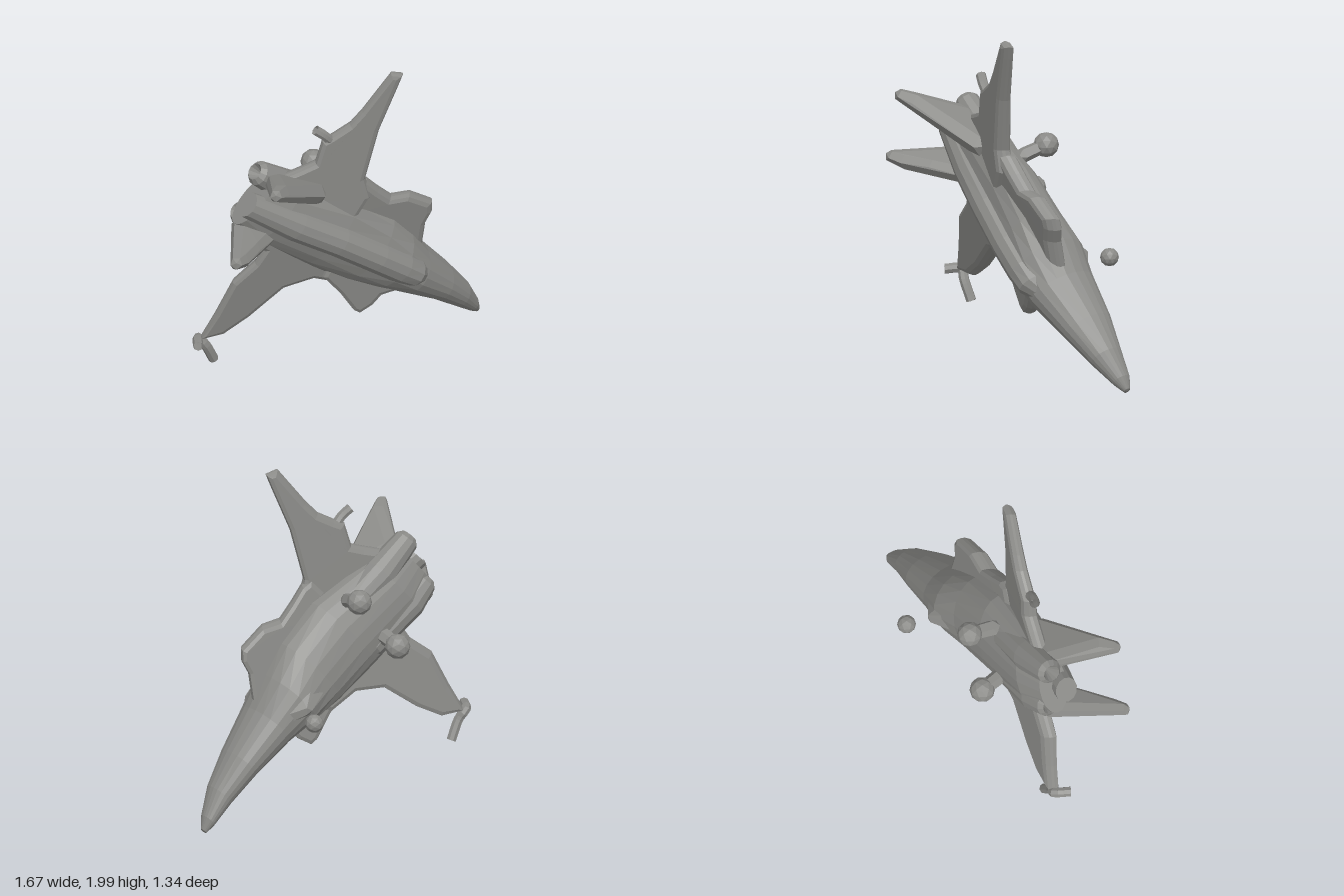
import * as THREE from 'three';
import { ConvexGeometry } from 'three/addons/geometries/ConvexGeometry.js';

const material = new THREE.MeshStandardMaterial({ color: 0x8a8a87, flatShading: true, side: THREE.DoubleSide });

// Aircraft axes: span, up and forward, banked and diving
const frame = new THREE.Matrix4().makeBasis(
  new THREE.Vector3(0.628, 0.768, -0.125),
  new THREE.Vector3(0.414, -0.194, 0.889),
  new THREE.Vector3(0.658, -0.611, -0.44)
).setPosition(0, 1, 0);

function add(group, name, geometry) {
  const mesh = new THREE.Mesh(geometry, material);
  mesh.name = name;
  group.add(mesh);
  return mesh;
}

// Skin over elliptical sections [forward, side, up, halfWidth, halfHeight]
function loft(sections, sides = 20) {
  const pos = [], index = [];
  sections.forEach(([f, w, u, hw, hu], i) => {
    for (let j = 0; j < sides; j++) {
      const a = (j / sides) * Math.PI * 2;
      pos.push(w + hw * Math.cos(a), u + hu * Math.sin(a), f);
      if (i === sections.length - 1) continue;
      const p = i * sides + j, q = i * sides + (j + 1) % sides;
      index.push(p, q, p + sides, q, q + sides, p + sides);
    }
  });
  const g = new THREE.BufferGeometry();
  g.setAttribute('position', new THREE.Float32BufferAttribute(pos, 3));
  g.setIndex(index);
  g.computeVertexNormals();
  return g.applyMatrix4(frame);
}

// Bevelled plate with an outline in x, y, thinning outwards and sheared onto a sloping plane
function plate(outline, thick, lift, slopeX = -0.466, slopeY = 0.218) {
  const shape = new THREE.Shape(outline.map(([x, y]) => new THREE.Vector2(x, y)));
  const bevel = thick * 0.4;
  const g = new THREE.ExtrudeGeometry(shape, {
    depth: thick - 2 * bevel, bevelThickness: bevel, bevelSize: 0.03, bevelOffset: -0.03, bevelSegments: 2
  });
  const p = g.attributes.position;
  for (let i = 0; i < p.count; i++) {
    const x = p.getX(i), y = p.getY(i) - 1;
    const taper = 1 - 0.35 * Math.min(Math.hypot(x, y), 1);
    p.setZ(i, (p.getZ(i) + bevel - thick / 2) * taper + lift + slopeX * x + slopeY * y);
  }
  g.computeVertexNormals();
  return g;
}

// Convex skin around balls given as [x, y, z, radius]
function hull(balls) {
  const pts = [];
  for (const [x, y, z, r] of balls) {
    const p = new THREE.IcosahedronGeometry(r, 0).attributes.position;
    for (let i = 0; i < p.count; i++) pts.push(new THREE.Vector3().fromBufferAttribute(p, i).add(new THREE.Vector3(x, y, z)));
  }
  return new ConvexGeometry(pts);
}

function tube(points, r) {
  const curve = new THREE.CatmullRomCurve3(points.map(p => new THREE.Vector3(...p)));
  return new THREE.TubeGeometry(curve, 12, r, 8);
}

export function createModel() {
  const model = new THREE.Group();
  model.name = 'jetAircraft';

  // Body, drooping to the nose
  add(model, 'fuselage', loft([
    [-0.58, -0.13, -0.05, 0, 0], [-0.58, -0.13, -0.05, 0.18, 0.09], [-0.4, -0.12, -0.055, 0.24, 0.14],
    [0, -0.06, -0.035, 0.28, 0.175], [0.3, -0.05, -0.015, 0.26, 0.2], [0.5, -0.05, -0.01, 0.21, 0.23],
    [0.7, -0.06, 0, 0.155, 0.205], [0.98, -0.07, -0.015, 0.11, 0.155], [1.2, -0.095, -0.025, 0.08, 0.1],
    [1.36, -0.13, -0.045, 0.045, 0.055], [1.425, -0.15, -0.05, 0.02, 0.02], [1.43, -0.15, -0.05, 0, 0]
  ]));

  // Raised spine ending in the canopy
  add(model, 'spine', loft([
    [-0.64, -0.15, 0, 0, 0], [-0.64, -0.15, 0, 0.08, 0.07], [-0.3, -0.11, 0.065, 0.1, 0.09],
    [0, -0.065, 0.11, 0.1, 0.1], [0.3, -0.04, 0.145, 0.1, 0.1], [0.5, -0.03, 0.155, 0.1, 0.1],
    [0.62, -0.025, 0.15, 0.085, 0.1], [0.69, -0.03, 0.12, 0.065, 0.08], [0.78, -0.045, 0.08, 0, 0]
  ], 12));

  // Engine nozzles
  for (const [w, end] of [[0.02, -0.68], [-0.25, -0.58]]) {
    add(model, 'engine', loft([
      [end + 0.1, w, -0.09, 0, 0], [end, w, -0.09, 0.05, 0.05], [end + 0.03, w, -0.09, 0.075, 0.075],
      [-0.4, w, -0.09, 0.1, 0.1], [-0.05, w + 0.03, -0.08, 0.09, 0.1], [0.15, w + 0.04, -0.05, 0, 0]
    ], 12));
  }

  // Chin intake
  add(model, 'intake', hull([
    [0.2, 0.67, -0.43, 0.04], [0.1, 0.76, -0.27, 0.05], [0.12, 0.84, -0.2, 0.07],
    [0.36, 0.6, -0.4, 0.06], [0.3, 0.85, -0.22, 0.06]
  ]));

  // Main wings
  add(model, 'leftWing', plate([
    [0.32, 2.0], [0.39, 1.98], [0.36, 1.9], [0.25, 1.62], [0.17, 1.3], [0.2, 1.17], [0.1, 1.0], [-0.25, 1.2],
    [-0.35, 1.38], [-0.2, 1.43], [-0.12, 1.46], [-0.08, 1.6], [-0.02, 1.63], [0.08, 1.69], [0.15, 1.77]
  ], 0.11, 0.055, -0.28, 0.06));
  add(model, 'rightWing', plate([
    [-0.79, 0.33], [-0.65, 0.33], [-0.5, 0.42], [-0.3, 0.58], [-0.13, 0.6], [0.02, 0.52], [0.2, 0.6], [0, 0.95],
    [-0.3, 1.15], [-0.52, 1.0], [-0.42, 0.9], [-0.47, 0.82], [-0.6, 0.71], [-0.7, 0.5]
  ], 0.12, -0.01));

  // Forward surfaces
  add(model, 'leftForeplane', plate([
    [0.12, 1.3], [0.18, 1.27], [0.25, 1.18], [0.32, 1.1], [0.43, 1.09], [0.56, 0.99], [0.56, 0.92], [0.52, 0.84],
    [0.5, 0.68], [0.3, 0.7], [-0.1, 1.05]
  ], 0.13, 0.025));
  add(model, 'rightForeplane', plate([
    [-0.08, 0.62], [0.02, 0.48], [0.1, 0.34], [0.14, 0.31], [0.22, 0.36], [0.27, 0.42], [0.42, 0.45],
    [0.4, 0.7], [0.05, 0.9]
  ], 0.12, 0.005, -0.3, 0.13));

  // Tail fins
  add(model, 'rightFin', hull([
    [-0.58, 1.07, 0.63, 0.04], [-0.55, 1.05, 0.56, 0.05], [-0.56, 1.08, 0.22, 0.055], [-0.4, 1.0, 0.18, 0.06],
    [-0.48, 1.04, 0.4, 0.045]
  ]));
  add(model, 'leftFin', hull([
    [-0.35, 1.5, 0.59, 0.04], [-0.32, 1.47, 0.5, 0.055], [-0.36, 1.37, 0.2, 0.06], [-0.12, 1.26, 0.15, 0.07],
    [-0.24, 1.39, 0.38, 0.05]
  ]));

  // Right wing-tip launcher and left trailing-edge rod
  add(model, 'wingTipLauncher', tube([[-0.8, 0.33, 0.31], [-0.8, 0.33, 0.21], [-0.76, 0.28, 0.2], [-0.71, 0.16, 0.16]], 0.03));
  add(model, 'trailingEdgeRod', tube([[-0.12, 1.68, 0.14], [-0.07, 1.64, 0.13], [0, 1.55, 0.09]], 0.03));

  // Underside pods on short stalks, and a released store
  for (const [x, y, z, sx, sy, sz] of [[-0.13, 1.25, -0.24, -0.08, 1.2, -0.1], [-0.36, 0.93, -0.18, -0.24, 0.97, 0]]) {
    add(model, 'pod', new THREE.IcosahedronGeometry(0.075, 1)).position.set(x, y, z);
    add(model, 'podStalk', hull([[x, y, z, 0.045], [sx, sy, sz, 0.05]]));
  }
  add(model, 'releasedStore', new THREE.IcosahedronGeometry(0.055, 1)).position.set(0.17, 0.65, -0.59);

  return model;
}
